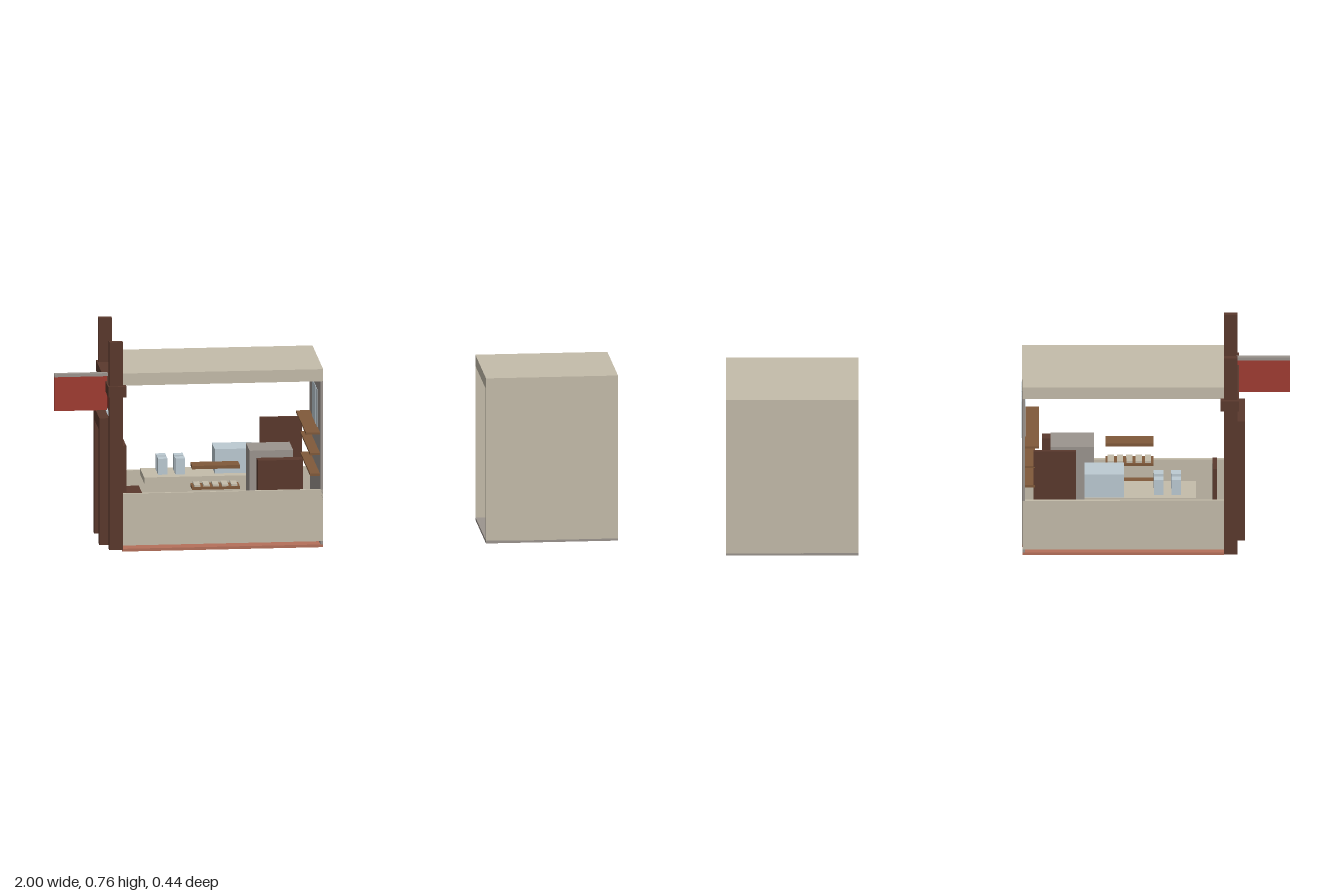
import * as THREE from 'three';

export function createModel() {
  const model = new THREE.Group();
  model.name = 'cafeStallAndBooth';

  const mat = (name, color) => {
    const m = new THREE.MeshStandardMaterial({ color });
    m.name = name;
    return m;
  };
  const plaster = mat('plaster', 0xc4bcaa);
  const grey = mat('warm grey', 0x9b948e);
  const brown = mat('dark brown wood', 0x5a392d);
  const red = mat('sign red', 0xa03c32);
  const clay = mat('terracotta', 0xb5705a);
  const glass = mat('pale blue', 0xbccad2);
  const wood = mat('shelf wood', 0x80593a);

  // Box given by its minimum and maximum on each axis
  const box = (parent, name, material, [x0, x1], [y0, y1], [z0, z1]) => {
    const mesh = new THREE.Mesh(new THREE.BoxGeometry(x1 - x0, y1 - y0, z1 - z0), material);
    mesh.position.set((x0 + x1) / 2, (y0 + y1) / 2, (z0 + z1) / 2);
    mesh.name = name;
    parent.add(mesh);
    return mesh;
  };
  const part = (name) => {
    const g = new THREE.Group();
    g.name = name;
    model.add(g);
    return g;
  };

  // Stall shell: floor, low walls, side wall and roof
  const shell = part('stallShell');
  const len = [-0.765, -0.05];
  box(shell, 'stallFloor', clay, len, [0, 0.01], [-0.19, 0.19]);
  box(shell, 'stallRoof', plaster, len, [0.603, 0.647], [-0.19, 0.19]);
  box(shell, 'frontLowWall', plaster, len, [0.022, 0.21], [0.18, 0.19]);
  box(shell, 'backLowWall', plaster, len, [0.022, 0.21], [-0.19, -0.18]);
  box(shell, 'sideWall', grey, [-0.06, -0.05], [0.01, 0.603], [-0.19, 0.19]);

  // Four narrow panes in the side wall
  for (let i = 0; i < 4; i++) {
    const z = -0.09 + i * 0.047;
    box(shell, 'sideWindowPane', glass, [-0.062, -0.048], [0.41, 0.55], [z, z + 0.039]);
  }

  // Entrance: corner posts, cross beam, door frame and glazing
  const entrance = part('entrance');
  for (const z of [-0.195, 0.195]) {
    box(entrance, 'cornerPost', brown, [-0.813, -0.765], [0.01, 0.765], [z - 0.011, z + 0.011]);
  }
  box(entrance, 'crossBeam', brown, [-0.818, -0.753], [0.567, 0.605], [-0.218, 0.218]);
  for (const z of [-0.073, 0.108]) {
    box(entrance, 'doorPost', brown, [-0.84, -0.805], [0.01, 0.47], [z - 0.012, z + 0.012]);
  }
  box(entrance, 'doorLintel', brown, [-0.84, -0.805], [0.425, 0.47], [-0.085, 0.12]);
  box(entrance, 'sideGlass', glass, [-0.795, -0.787], [0.1, 0.45], [-0.184, -0.085]);
  box(entrance, 'transomGlass', glass, [-0.785, -0.777], [0.47, 0.567], [-0.184, 0.184]);
  box(entrance, 'transomBanner', red, [-0.793, -0.785], [0.47, 0.567], [-0.184, 0.184]);

  // Hanging sign
  const sign = part('hangingSign');
  box(sign, 'signPanel', red, [-1, -0.813], [0.5, 0.624], [0.109, 0.121]);
  box(sign, 'signRail', grey, [-1, -0.81], [0.624, 0.635], [0.105, 0.125]);

  // Back counter with cups and a pale box
  const counter = part('counter');
  box(counter, 'counterTop', plaster, [-0.665, -0.27], [0.195, 0.217], [-0.18, -0.03]);
  for (const x of [-0.595, -0.533]) {
    for (const z of [-0.14, -0.085]) {
      box(counter, 'cup', glass, [x - 0.017, x + 0.017], [0.217, 0.275], [z - 0.017, z + 0.017]);
    }
  }
  box(counter, 'displayCase', glass, [-0.41, -0.27], [0.217, 0.305], [-0.175, -0.07]);

  // Machine and boards
  const equipment = part('equipment');
  box(equipment, 'machine', grey, [-0.305, -0.15], [0.03, 0.34], [-0.01, 0.12]);
  box(equipment, 'frontCabinet', brown, [-0.28, -0.12], [0.04, 0.315], [0.125, 0.17]);
  box(equipment, 'backBoard', brown, [-0.24, -0.09], [0.14, 0.395], [-0.178, -0.166]);
  box(equipment, 'floorMat', wood, [-0.36, -0.15], [0.01, 0.018], [-0.06, 0.12]);

  // Chair by the door
  const chair = part('chair');
  box(chair, 'chairBack', brown, [-0.74, -0.725], [0.14, 0.325], [-0.175, -0.07]);
  box(chair, 'chairSeat', brown, [-0.74, -0.67], [0.14, 0.155], [-0.175, -0.06]);

  // Front shelves with small plates
  const shelves = part('shelves');
  box(shelves, 'upperShelf', wood, [-0.515, -0.345], [0.29, 0.302], [0.11, 0.175]);
  box(shelves, 'middleShelf', wood, [-0.515, -0.345], [0.215, 0.225], [0.11, 0.175]);
  box(shelves, 'lowerShelf', wood, [-0.515, -0.345], [0.13, 0.142], [0.1, 0.175]);
  for (let i = 0; i < 5; i++) {
    const x = -0.507 + i * 0.033;
    box(shelves, 'plate', plaster, [x, x + 0.022], [0.225, 0.232], [0.113, 0.172]);
  }

  // Long shelves on the side wall
  for (const [y, depth] of [[0.415, 0.05], [0.34, 0.035], [0.265, 0.035]]) {
    box(shelves, 'wallShelf', wood, [-0.06 - depth, -0.06], [y - 0.008, y], [-0.178, 0.178]);
  }

  // Separate booth, open towards the stall
  const booth = part('booth');
  const bx = [0.53, 1];
  box(booth, 'boothFloor', grey, bx, [0, 0.01], [-0.19, 0.19]);
  box(booth, 'boothRoof', plaster, bx, [0.59, 0.6], [-0.19, 0.19]);
  box(booth, 'boothFrontWall', plaster, bx, [0.008, 0.59], [0.18, 0.19]);
  box(booth, 'boothBackWall', plaster, bx, [0.008, 0.59], [-0.19, -0.18]);
  box(booth, 'boothHeader', plaster, [0.53, 0.54], [0.56, 0.59], [-0.18, 0.18]);

  // Booth end wall with a doorway
  const wall = new THREE.Shape([
    [-0.18, 0.01], [-0.082, 0.01], [-0.082, 0.367], [0.082, 0.367],
    [0.082, 0.01], [0.18, 0.01], [0.18, 0.59], [-0.18, 0.59],
  ].map(([x, y]) => new THREE.Vector2(x, y)));
  const endWall = new THREE.Mesh(
    new THREE.ExtrudeGeometry(wall, { depth: 0.01, bevelEnabled: false }), plaster);
  endWall.rotation.y = Math.PI / 2;
  endWall.position.x = 0.99;
  endWall.name = 'boothDoorWall';
  booth.add(endWall);

  // Bench inside the booth
  box(booth, 'benchSeat', brown, [0.66, 0.85], [0.01, 0.082], [0.07, 0.11]);
  box(booth, 'benchBack', brown, [0.69, 0.85], [0.082, 0.145], [0.08, 0.1]);

  return model;
}
